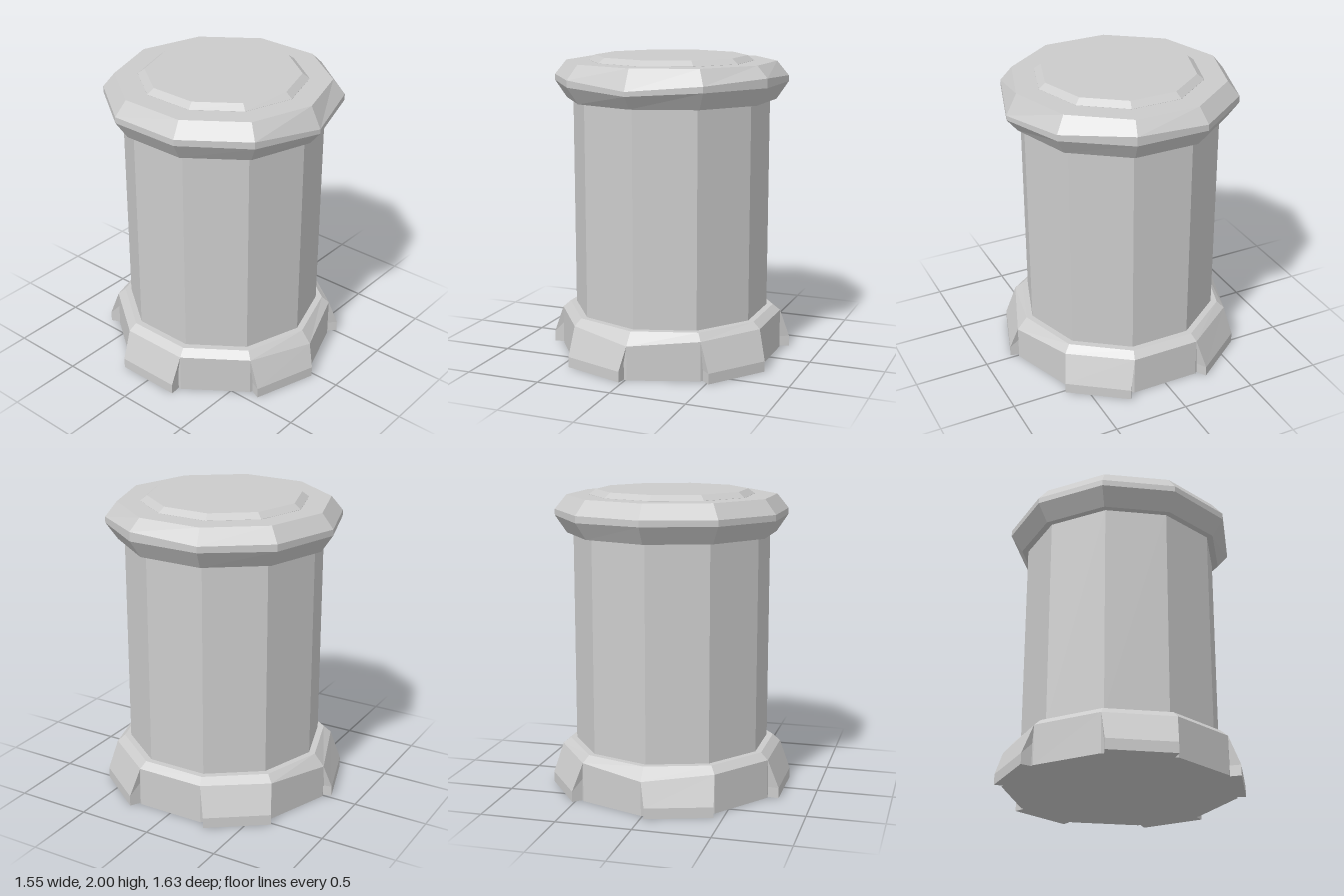
import * as THREE from 'three';

const SIDES = 10;
const STEP = (Math.PI * 2) / SIDES;
const OFFSET = STEP / 2;

// Ten-sided ring; y and r may be a number or one value per corner
function ring(r, y) {
  const pick = (v, i) => (Array.isArray(v) ? v[i] : v);
  return Array.from({ length: SIDES }, (_, i) => {
    const a = OFFSET + i * STEP;
    return [pick(r, i) * Math.cos(a), pick(y, i), pick(r, i) * Math.sin(a)];
  });
}

// Joins rings from bottom to top and closes both ends
function loft(name, rings) {
  const pos = [];
  const tri = (a, b, c) => pos.push(...a, ...b, ...c);
  const n = rings[0].length;
  for (let k = 0; k < rings.length - 1; k++) {
    const lo = rings[k], hi = rings[k + 1];
    for (let i = 0; i < n; i++) {
      const j = (i + 1) % n;
      tri(lo[i], hi[i], lo[j]);
      tri(hi[i], hi[j], lo[j]);
    }
  }
  const bottom = rings[0], top = rings[rings.length - 1];
  for (let i = 1; i < n - 1; i++) {
    tri(bottom[0], bottom[i], bottom[i + 1]);
    tri(top[0], top[i + 1], top[i]);
  }
  const geo = new THREE.BufferGeometry();
  geo.setAttribute('position', new THREE.Float32BufferAttribute(pos, 3));
  geo.computeVertexNormals();
  const mesh = new THREE.Mesh(geo, new THREE.MeshStandardMaterial({ color: 0xcccccc, flatShading: true }));
  mesh.name = name;
  return mesh;
}

export function createModel() {
  const group = new THREE.Group();
  group.name = 'column';

  // Base plinth, worn a little lower at the front and back corners
  const shoulderY = [0.265, 0.26, 0.225, 0.26, 0.26, 0.26, 0.26, 0.225, 0.26, 0.265];
  const shoulderR = shoulderY.map((y) => (y < 0.25 ? 0.765 : 0.748));
  const shoulder = ring(shoulderR, shoulderY);
  group.add(loft('basePlinth', [ring(shoulderR, 0), shoulder, ring(0.697, 0.305)]));

  // Flared foot blocks on every other side
  for (let k = 0; k < SIDES; k += 2) {
    const a = OFFSET + k * STEP + STEP / 2;
    const at = (d, t, y) => [d * Math.cos(a) - t * Math.sin(a), y, d * Math.sin(a) + t * Math.cos(a)];
    const foot = (y) => [at(0.6, -0.2, y), at(0.785, -0.22, y), at(0.785, 0.22, y), at(0.6, 0.2, y)];
    const p = shoulder[k], q = shoulder[(k + 1) % SIDES];
    group.add(loft('footBlock', [foot(0), foot(0.07), [at(0.6, -0.2, p[1]), p, q, at(0.6, 0.2, q[1])]]));
  }

  // Shaft
  group.add(loft('shaft', [ring(0.654, 0.29), ring(0.654, 1.73)]));

  // Capital with an uneven chiselled rim
  const rimLow = [1.83, 1.825, 1.8, 1.825, 1.83, 1.83, 1.83, 1.83, 1.825, 1.83];
  const rimHigh = [1.89, 1.865, 1.83, 1.87, 1.87, 1.87, 1.87, 1.87, 1.87, 1.87];
  const rimR = [0.775, 0.775, 0.768, 0.775, 0.775, 0.775, 0.775, 0.775, 0.775, 0.775];
  group.add(loft('capital', [ring(0.697, 1.715), ring(rimR, rimLow), ring(rimR, rimHigh), ring(0.697, 1.965)]));

  // Raised top slab
  group.add(loft('topSlab', [ring(0.548, 1.96), ring(0.548, 1.966), ring(0.503, 2)]));

  group.position.x = 0.01;
  return group;
}
